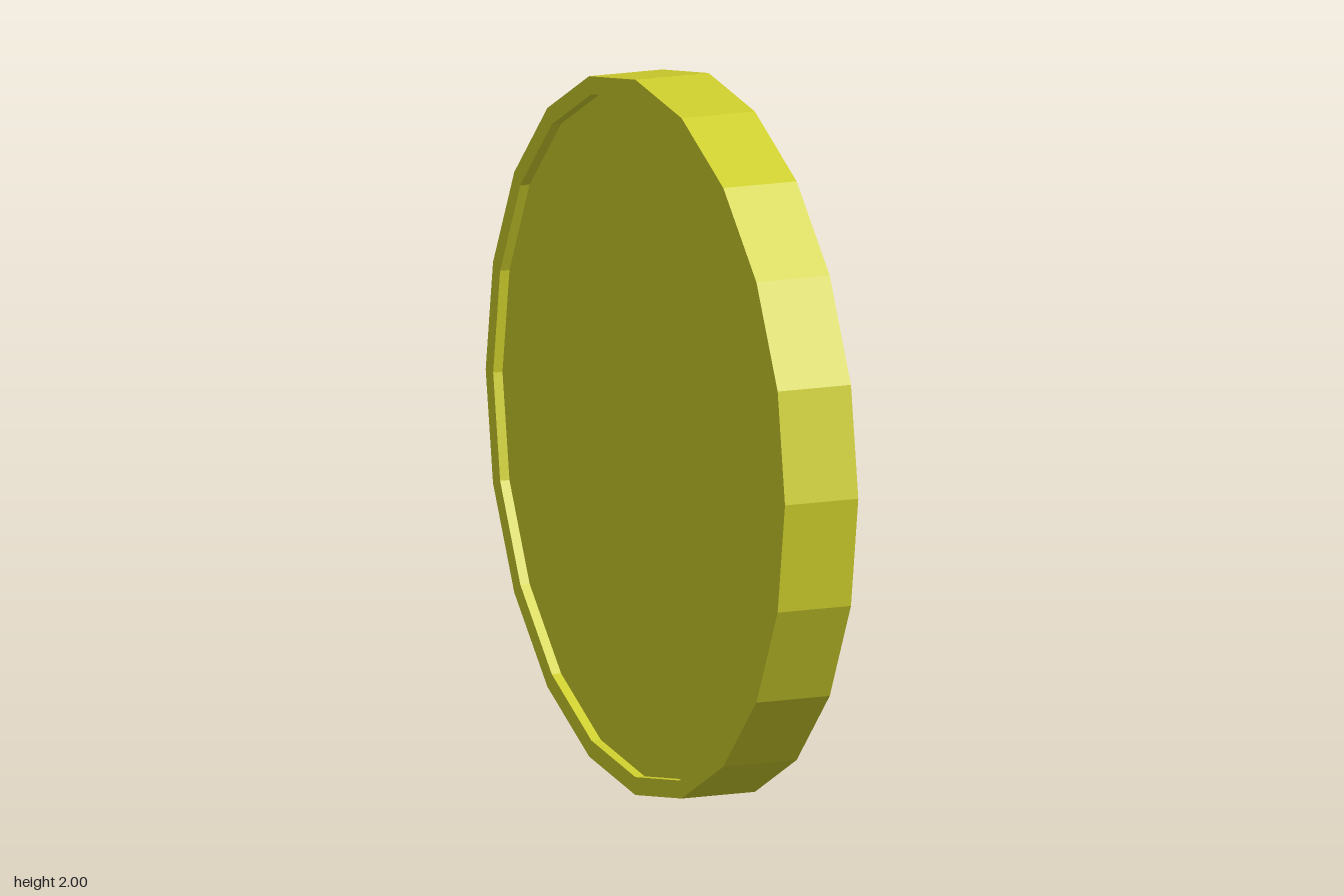
import * as THREE from 'three';

const SIDES = 20;
const RADIUS = 1;
const INNER = 0.95;   // inner radius of the raised rim
const HALF = 0.11;    // half thickness at the rim
const FLOOR = 0.082;  // half thickness at the recessed faces

export function createModel() {
  const group = new THREE.Group();
  group.name = 'coin';
  const gold = new THREE.MeshStandardMaterial({ color: 0xcccc2c, flatShading: true });

  // Raised rim: inner step, lower ring, outer edge, upper ring, inner step
  const rimProfile = [
    [INNER, -FLOOR], [INNER, -HALF], [RADIUS, -HALF],
    [RADIUS, HALF], [INNER, HALF], [INNER, FLOOR],
  ].map(([r, y]) => new THREE.Vector2(r, y));
  const rim = new THREE.Mesh(new THREE.LatheGeometry(rimProfile, SIDES), gold);
  rim.name = 'rim';

  const coin = new THREE.Group();
  coin.name = 'coinBody';
  coin.add(rim);

  // Recessed flat face on each side
  for (const side of [1, -1]) {
    const face = new THREE.Mesh(new THREE.CircleGeometry(INNER, SIDES), gold);
    face.name = side > 0 ? 'leftFace' : 'rightFace';
    face.rotation.x = -side * Math.PI / 2;
    face.position.y = side * FLOOR;
    coin.add(face);
  }

  // Stand the coin on its edge, then turn it about the vertical
  coin.rotation.z = -Math.PI / 2;
  group.add(coin);
  const turn = new THREE.Group();
  turn.name = 'turnedCoin';
  turn.rotation.y = THREE.MathUtils.degToRad(26);
  turn.position.y = RADIUS;
  turn.add(coin);
  group.add(turn);
  return group;
}
